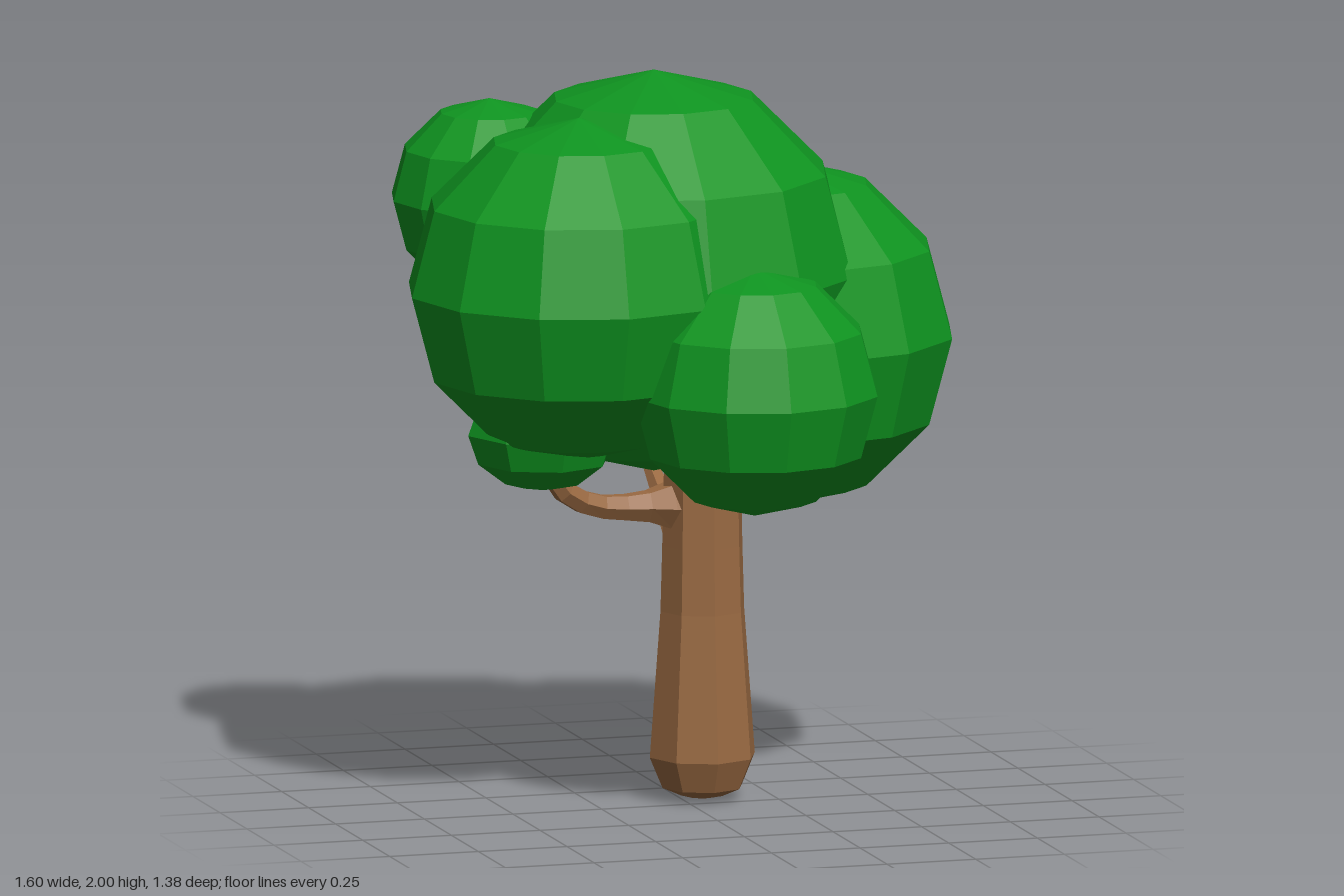
import * as THREE from 'three';

const leafMaterial = new THREE.MeshStandardMaterial({ color: 0x0f9420, flatShading: true });
const barkMaterial = new THREE.MeshStandardMaterial({ color: 0x9a6a42, flatShading: true });

function addMesh(parent, name, geometry, material) {
  const mesh = new THREE.Mesh(geometry, material);
  mesh.name = name;
  parent.add(mesh);
  return mesh;
}

// Faceted limb through the given points, with one radius per evenly spaced ring
function limbGeometry(points, radii, sides) {
  const curve = new THREE.CatmullRomCurve3(points.map((p) => new THREE.Vector3(...p)));
  const rings = radii.length - 1;
  const geometry = new THREE.TubeGeometry(curve, rings, 1, sides, false);
  const position = geometry.attributes.position;
  const v = new THREE.Vector3();
  for (let i = 0; i <= rings; i++) {
    const centre = curve.getPointAt(i / rings);
    for (let j = 0; j <= sides; j++) {
      const k = i * (sides + 1) + j;
      v.fromBufferAttribute(position, k).sub(centre).multiplyScalar(radii[i]).add(centre);
      position.setXYZ(k, v.x, v.y, v.z);
    }
  }
  geometry.computeVertexNormals();
  return geometry;
}

export function createModel() {
  const tree = new THREE.Group();
  tree.name = 'tree';

  // Trunk: eight sides, rounded foot, slight taper into the crown
  const profile = [[0, 0], [0.06, 0.012], [0.112, 0.035], [0.148, 0.12], [0.133, 0.32],
    [0.118, 0.52], [0.113, 0.7], [0.11, 0.85], [0.1, 1.15], [0, 1.2]];
  const trunk = addMesh(tree, 'trunk',
    new THREE.LatheGeometry(profile.map(([r, y]) => new THREE.Vector2(r, y)), 8), barkMaterial);
  trunk.position.set(0.055, 0, -0.07);

  // Side branch bending up into the small leaf tuft
  addMesh(tree, 'sideBranch', limbGeometry(
    [[0.03, 0.81, -0.07], [-0.08, 0.81, -0.07], [-0.26, 0.825, -0.055], [-0.36, 0.885, -0.03], [-0.41, 0.98, -0.02]],
    [0.095, 0.07, 0.046, 0.038, 0.035, 0.034, 0.033, 0.03, 0], 6), barkMaterial);

  // Bare, pointed branch at the back
  addMesh(tree, 'backBranch', limbGeometry(
    [[0.055, 0.57, -0.1], [0.053, 0.64, -0.2], [0.05, 0.76, -0.4], [0.045, 0.875, -0.585]],
    [0.08, 0.06, 0.046, 0.038, 0.031, 0.024, 0], 6), barkMaterial);

  // Crown: overlapping faceted balls [name, x, y, z, radius]
  const crown = new THREE.Group();
  crown.name = 'crown';
  tree.add(crown);
  const balls = [
    ['mainFoliage', -0.07, 1.45, -0.11, 0.55],
    ['leftFoliage', 0.32, 1.24, -0.215, 0.475],
    ['rightFoliage', -0.33, 1.44, 0.05, 0.47],
    ['frontFoliage', 0.075, 1.19, 0.35, 0.34],
    ['backFoliage', -0.46, 1.63, -0.35, 0.27],
  ];
  for (const [name, x, y, z, r] of balls) {
    addMesh(crown, name, new THREE.SphereGeometry(r, 12, 6), leafMaterial).position.set(x, y, z);
  }

  // Flattened tuft at the end of the side branch
  const tuft = addMesh(crown, 'branchTuft', new THREE.SphereGeometry(0.21, 8, 6), leafMaterial);
  tuft.scale.y = 0.76;
  tuft.position.set(-0.41, 1.04, -0.02);

  return tree;
}
